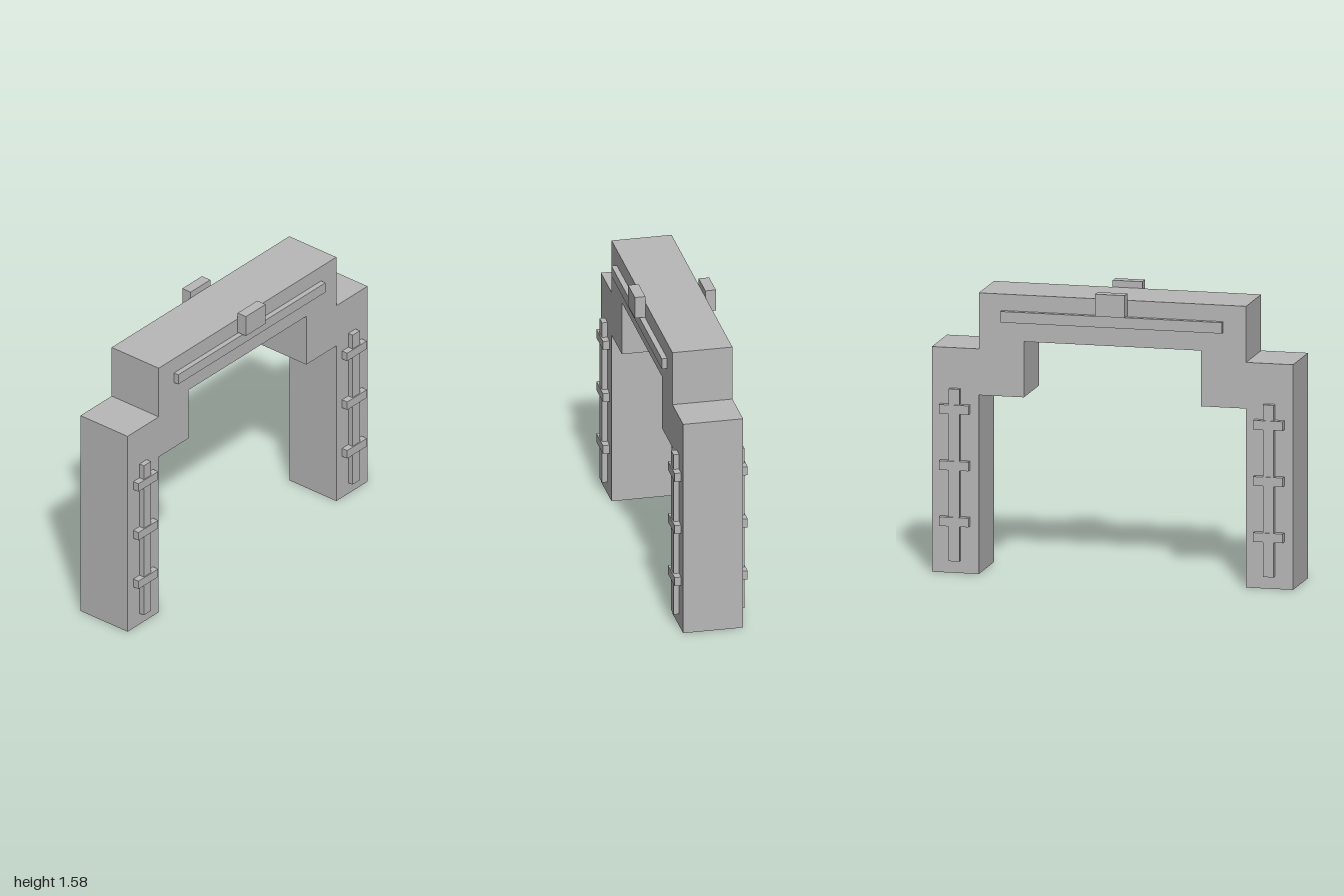
import * as THREE from 'three';

const HALF_DEPTH = 0.165;

export function createModel() {
  const model = new THREE.Group();
  model.name = 'steppedArch';
  const stone = new THREE.MeshStandardMaterial({ color: 0xb8b8b8 });
  stone.name = 'grey stone';

  // Arch body: half outline, mirrored and extruded through the depth
  const half = [[0.74, 0], [1, 0], [1, 1.233], [0.74, 1.233], [0.74, 1.54]];
  const inner = [[0.49, 1.285], [0.49, 0.98], [0.74, 0.98]];
  const mirror = (pts) => pts.map(([x, y]) => [-x, y]).reverse();
  const outline = [...half, ...mirror(half), ...mirror(inner), ...inner];
  const shape = new THREE.Shape(outline.map(([x, y]) => new THREE.Vector2(x, y)));
  const bodyGeometry = new THREE.ExtrudeGeometry(shape, { depth: HALF_DEPTH * 2, bevelEnabled: false });
  bodyGeometry.translate(0, 0, -HALF_DEPTH);
  const body = new THREE.Mesh(bodyGeometry, stone);
  body.name = 'archBody';
  model.add(body);

  // Raised block on the front (side 1) or back (side -1) face
  const addRelief = (name, side, x, y, width, height, reach) => {
    const depth = reach - HALF_DEPTH;
    const mesh = new THREE.Mesh(new THREE.BoxGeometry(width, height, depth), stone);
    mesh.name = name;
    mesh.position.set(x, y, side * (HALF_DEPTH + depth / 2));
    model.add(mesh);
  };

  for (const side of [1, -1]) {
    // Beam trim and keystone
    addRelief('beamStrip', side, 0, 1.42, 1.226, 0.06, 0.195);
    addRelief('keystone', side, 0, 1.516, 0.164, 0.122, 0.223);

    // Leg trim: upright with three crossbars
    for (const x of [-0.87, 0.87]) {
      addRelief('legStrip', side, x, 0.54, 0.06, 0.943, 0.195);
      for (const y of [0.285, 0.592, 0.9]) {
        addRelief('legCrossbar', side, x, y, 0.164, 0.05, 0.201);
      }
    }
  }
  return model;
}
